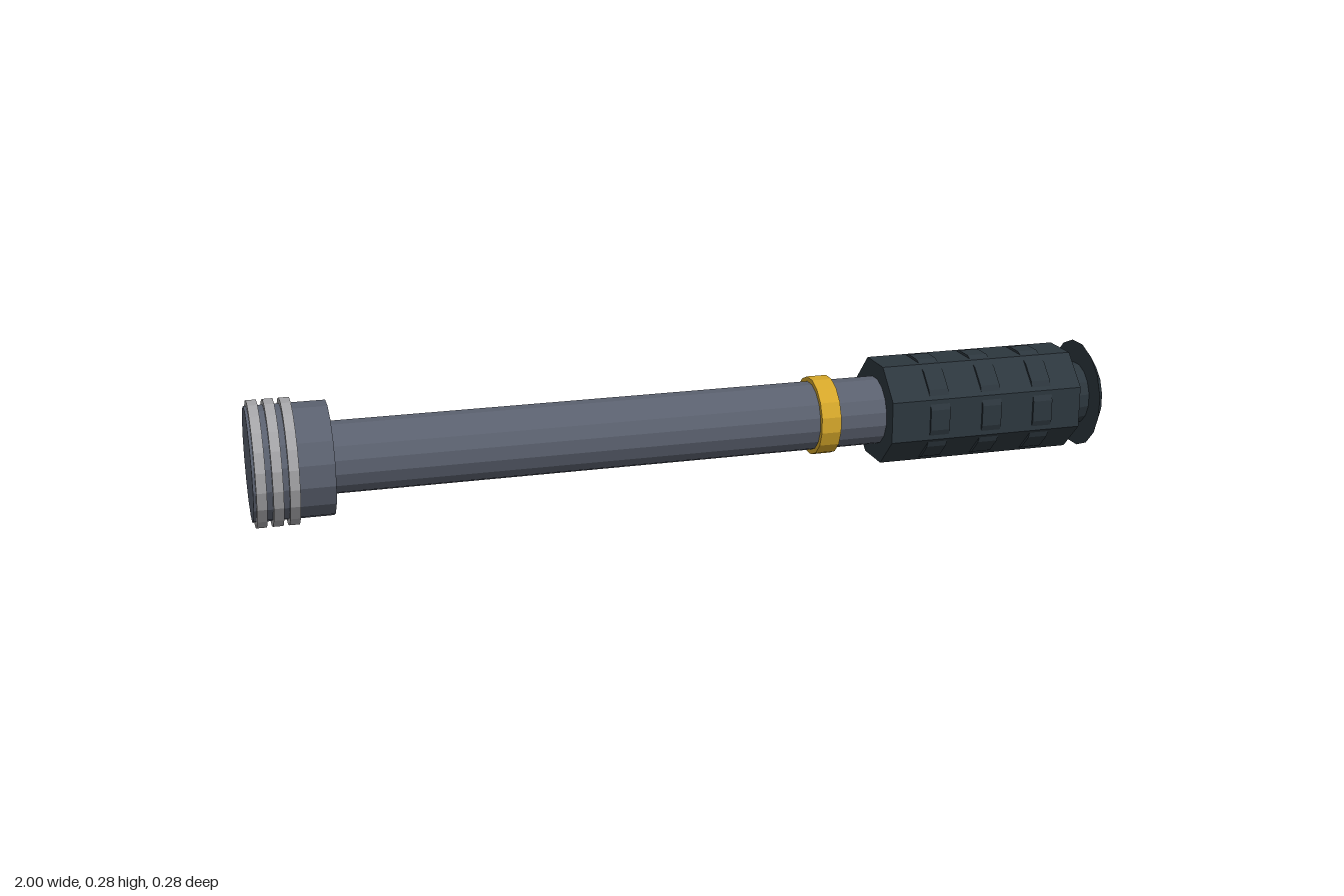
import * as THREE from 'three';

const AXIS_Y = 0.139;

function mat(name, color) {
  const m = new THREE.MeshStandardMaterial({ color, flatShading: true });
  m.name = name;
  return m;
}

export function createModel() {
  const group = new THREE.Group();
  group.name = 'handle';

  const steel = mat('blueGreySteel', 0x5a606e);
  const silver = mat('silver', 0xa3a3a6);
  const gold = mat('gold', 0xd4a62a);
  const rubber = mat('darkRubber', 0x2c363d);

  // Faceted cylinder along x from x0 (radius r0) to x1 (radius r1);
  // radii are measured to the flats, which face up, down, front and back.
  function turned(name, material, sides, x0, x1, r0, r1 = r0) {
    const k = 1 / Math.cos(Math.PI / sides);
    const geo = new THREE.CylinderGeometry(r1 * k, r0 * k, x1 - x0, sides, 1, false, Math.PI / sides);
    geo.rotateZ(-Math.PI / 2);
    const mesh = new THREE.Mesh(geo, material);
    mesh.name = name;
    mesh.position.set((x0 + x1) / 2, AXIS_Y, 0);
    group.add(mesh);
  }

  // Head with three thin rings
  turned('head', steel, 16, -1, -0.825, 0.125);
  [-0.983, -0.948, -0.913].forEach((x, i) =>
    turned(`headRing${i + 1}`, silver, 20, x - 0.011, x + 0.011, 0.1385));

  // Shaft and collar
  turned('shaft', steel, 16, -0.83, 0.46, 0.079);
  turned('collar', gold, 16, 0.287, 0.334, 0.09);

  // Octagonal grip with raised bands
  turned('grip', rubber, 8, 0.45, 0.927, 0.1165);
  [0.568, 0.698, 0.828].forEach((x, i) =>
    turned(`gripBand${i + 1}`, rubber, 16, x - 0.024, x + 0.024, 0.122));

  // Neck and flared end cap
  turned('neck', rubber, 16, 0.92, 0.98, 0.081, 0.072);
  turned('endCap', rubber, 16, 0.974, 1, 0.126, 0.089);

  return group;
}
